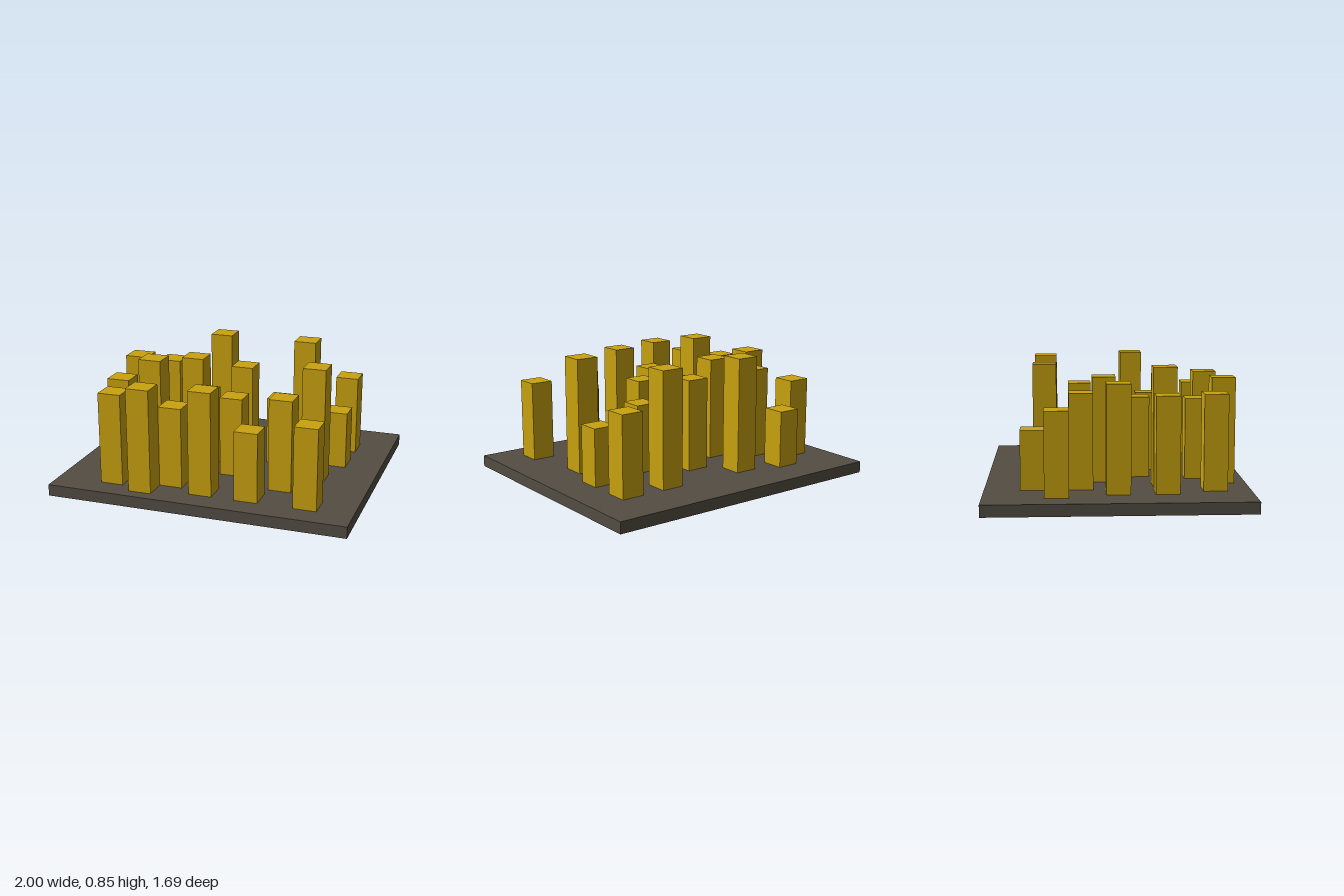
import * as THREE from 'three';

const U = 1 / 13; // grid unit: the base is 26 x 22 units

// columns: grid x, grid z, height of top above the ground
const COLUMNS = [
  [-10, -5, 8], [-7, -7, 6], [-3, -6, 11], [5, -6, 11], [9, -6, 8],
  [-7, -3, 9], [0, -3, 9], [9, -2, 6], [-4, -1, 10], [4, -1, 7],
  [-9, 0, 10], [-2, 2, 8], [8, 2, 11], [1, 3, 8], [-9, 4, 9],
  [-6, 4, 11], [6, 5, 9], [-3, 7, 8], [-8, 8, 9], [0, 8, 10],
  [4, 8, 7], [9, 8, 8], [-5, 9, 10],
];

export function createModel() {
  const model = new THREE.Group();
  model.name = 'columnField';

  const stone = new THREE.MeshStandardMaterial({ color: 0x534d43 });
  stone.name = 'dark stone';
  const gold = new THREE.MeshStandardMaterial({ color: 0xc9a30f });
  gold.name = 'gold';

  // box spanning bottom..top in grid units
  const addBox = (name, material, width, depth, x, z, bottom, top) => {
    const height = (top - bottom) * U;
    const mesh = new THREE.Mesh(new THREE.BoxGeometry(width * U, height, depth * U), material);
    mesh.position.set(x * U, bottom * U + height / 2, z * U);
    mesh.name = name;
    return mesh;
  };

  // slab
  model.add(addBox('base', stone, 26, 22, 0, 0, 0, 1));

  // square columns standing on the slab
  const columns = new THREE.Group();
  columns.name = 'columns';
  COLUMNS.forEach(([x, z, top], i) => {
    columns.add(addBox(`column${i + 1}`, gold, 2, 2, x, z, 1, top));
  });
  model.add(columns);

  return model;
}
